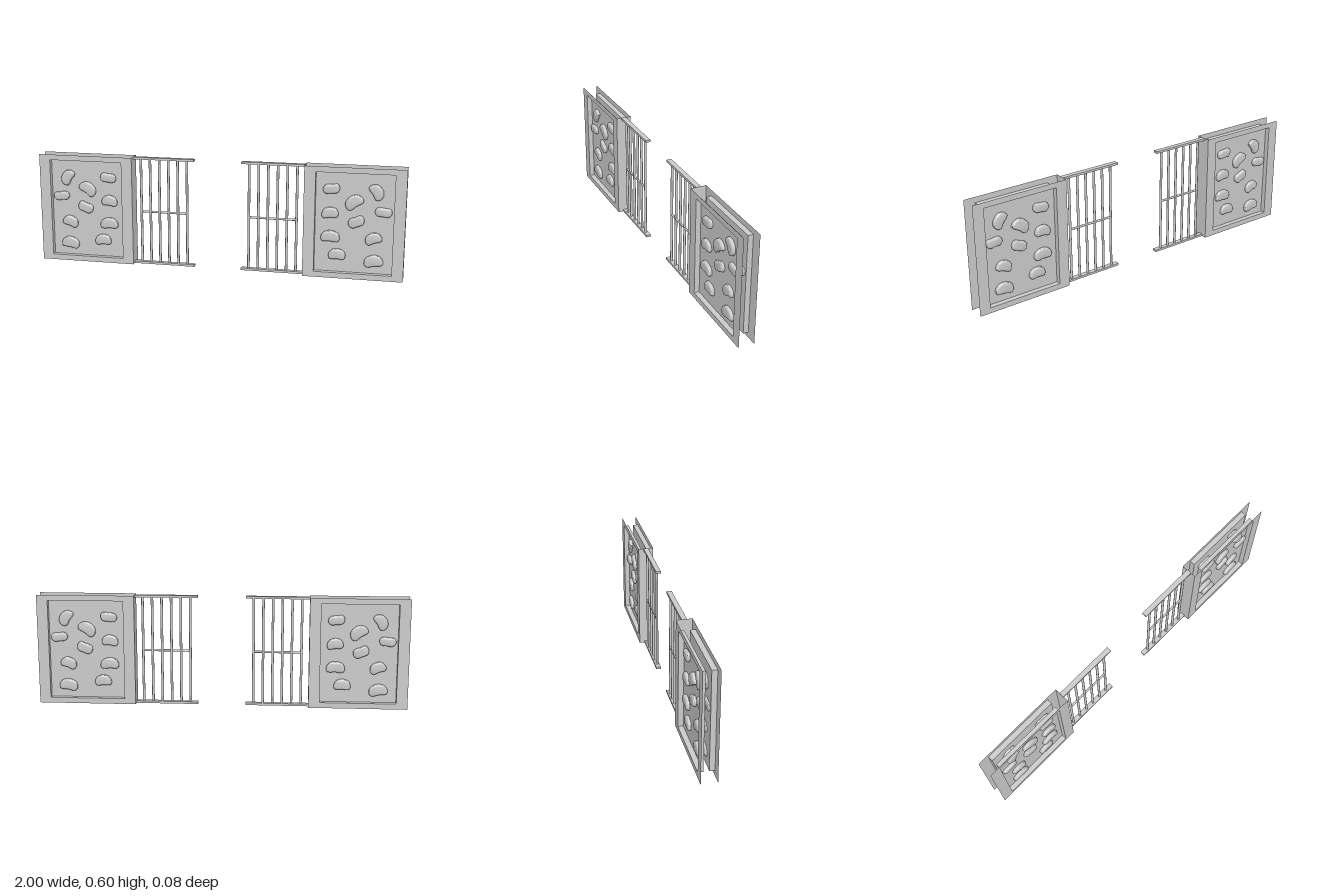
import * as THREE from 'three';
import { toCreasedNormals } from 'three/addons/utils/BufferGeometryUtils.js';

const grey = new THREE.MeshStandardMaterial({ color: 0xcccccc, side: THREE.DoubleSide });
const H = 0.6, INNER = 0.47, OUTER = 1, SKIN = 0.042, FLOOR = 0.014;
const RX0 = 0.53, RX1 = 0.94, RY0 = 0.03, RY1 = 0.57;

function add(parent, name, geometry, x = 0, y = 0, z = 0) {
  const mesh = new THREE.Mesh(geometry, grey);
  mesh.name = name;
  mesh.position.set(x, y, z);
  parent.add(mesh);
  return mesh;
}

// Outlines of the holds, in a box of about -0.5 to 0.5
const arch = [[-0.46, -0.4], [-0.5, 0], [-0.3, 0.42], [0.1, 0.5], [0.42, 0.25], [0.5, -0.25], [0.38, -0.48], [0, -0.4]];
const egg = [[-0.5, 0], [-0.36, 0.42], [0.05, 0.42], [0.42, 0.4], [0.5, 0], [0.36, -0.42], [-0.02, -0.44], [-0.38, -0.4]];

function holdGeometry(outline, w, h) {
  const bevel = 0.009;
  const curve = new THREE.CatmullRomCurve3(
    outline.map(([x, y]) => new THREE.Vector3(x * (w - bevel), y * (h - bevel), 0)), true);
  const points = curve.getPoints(20).slice(0, -1).map((p) => new THREE.Vector2(p.x, p.y));
  const geometry = new THREE.ExtrudeGeometry(new THREE.Shape(points), {
    depth: 0.008, bevelThickness: 0.009, bevelSize: bevel, bevelOffset: -bevel / 2, bevelSegments: 3,
  });
  return toCreasedNormals(geometry, 0.7);
}

// x, y, width, height, turn, mirrored, outline
const holds = [
  [0.848, 0.473, 0.09, 0.062, -0.95, 1, arch],
  [0.612, 0.479, 0.09, 0.054, 0.12, 1, egg],
  [0.73, 0.414, 0.1, 0.066, 0.55, -1, arch],
  [0.885, 0.366, 0.09, 0.052, -0.1, 1, egg],
  [0.607, 0.35, 0.088, 0.06, 0.15, 1, arch],
  [0.746, 0.307, 0.088, 0.058, 0.4, 1, egg],
  [0.837, 0.222, 0.088, 0.06, 0.3, -1, arch],
  [0.612, 0.222, 0.1, 0.062, 0, 1, arch],
  [0.842, 0.099, 0.1, 0.064, 0.12, -1, arch],
  [0.65, 0.126, 0.09, 0.06, 0, 1, arch],
];

// One face of a wall: frame sheet, recessed panel and holds
function wallFace() {
  const face = new THREE.Group();
  face.name = 'wallFace';
  const rect = (P, x0, y0, x1, y1) => new P([[x0, y0], [x1, y0], [x1, y1], [x0, y1]].map((p) => new THREE.Vector2(...p)));
  const frame = rect(THREE.Shape, INNER, 0, OUTER, H);
  frame.holes.push(rect(THREE.Path, RX0, RY0, RX1, RY1));
  add(face, 'frame', new THREE.ShapeGeometry(frame), 0, 0, SKIN);

  const w = RX1 - RX0, h = RY1 - RY0, d = SKIN - FLOOR;
  const cx = (RX0 + RX1) / 2, cy = (RY0 + RY1) / 2, cz = (SKIN + FLOOR) / 2;
  add(face, 'recessedPanel', new THREE.PlaneGeometry(w, h), cx, cy, FLOOR);
  for (const s of [-1, 1]) {
    add(face, 'recessSide', new THREE.PlaneGeometry(d, h).rotateY(-s * Math.PI / 2), cx + s * w / 2, cy, cz);
    add(face, 'recessEdge', new THREE.PlaneGeometry(w, d).rotateX(s * Math.PI / 2), cx, cy + s * h / 2, cz);
  }
  for (const [x, y, hw, hh, turn, flip, outline] of holds) {
    const hold = add(face, 'hold', holdGeometry(outline, hw, hh), x, y, FLOOR);
    hold.rotation.z = turn;
    hold.scale.x = flip;
  }
  return face;
}

// Barred section beside a wall
function barSection() {
  const bars = new THREE.Group();
  bars.name = 'barSection';
  for (const y of [0.006, H - 0.006])
    add(bars, 'rail', new THREE.BoxGeometry(0.342, 0.012, 0.027), 0.301, y);
  for (let i = 0; i < 6; i++)
    add(bars, 'verticalBar', new THREE.CylinderGeometry(0.007, 0.007, H - 0.02, 10), 0.171 + i * 0.0516, H / 2);
  add(bars, 'middleBar', new THREE.CylinderGeometry(0.006, 0.006, 0.262, 10).rotateZ(Math.PI / 2), 0.3, 0.296);
  return bars;
}

function half() {
  const group = new THREE.Group();
  const wall = new THREE.Group();
  wall.name = 'wall';
  const back = wallFace();
  back.scale.z = -1;
  wall.add(wallFace(), back);
  add(wall, 'innerEnd', new THREE.PlaneGeometry(2 * SKIN, H).rotateY(-Math.PI / 2), INNER, H / 2);
  group.add(wall, barSection());
  return group;
}

export function createModel() {
  const model = new THREE.Group();
  model.name = 'climbingWallGate';
  const left = half(), right = half();
  left.name = 'leftHalf';
  right.name = 'rightHalf';
  right.scale.x = -1;
  model.add(left, right);
  return model;
}
